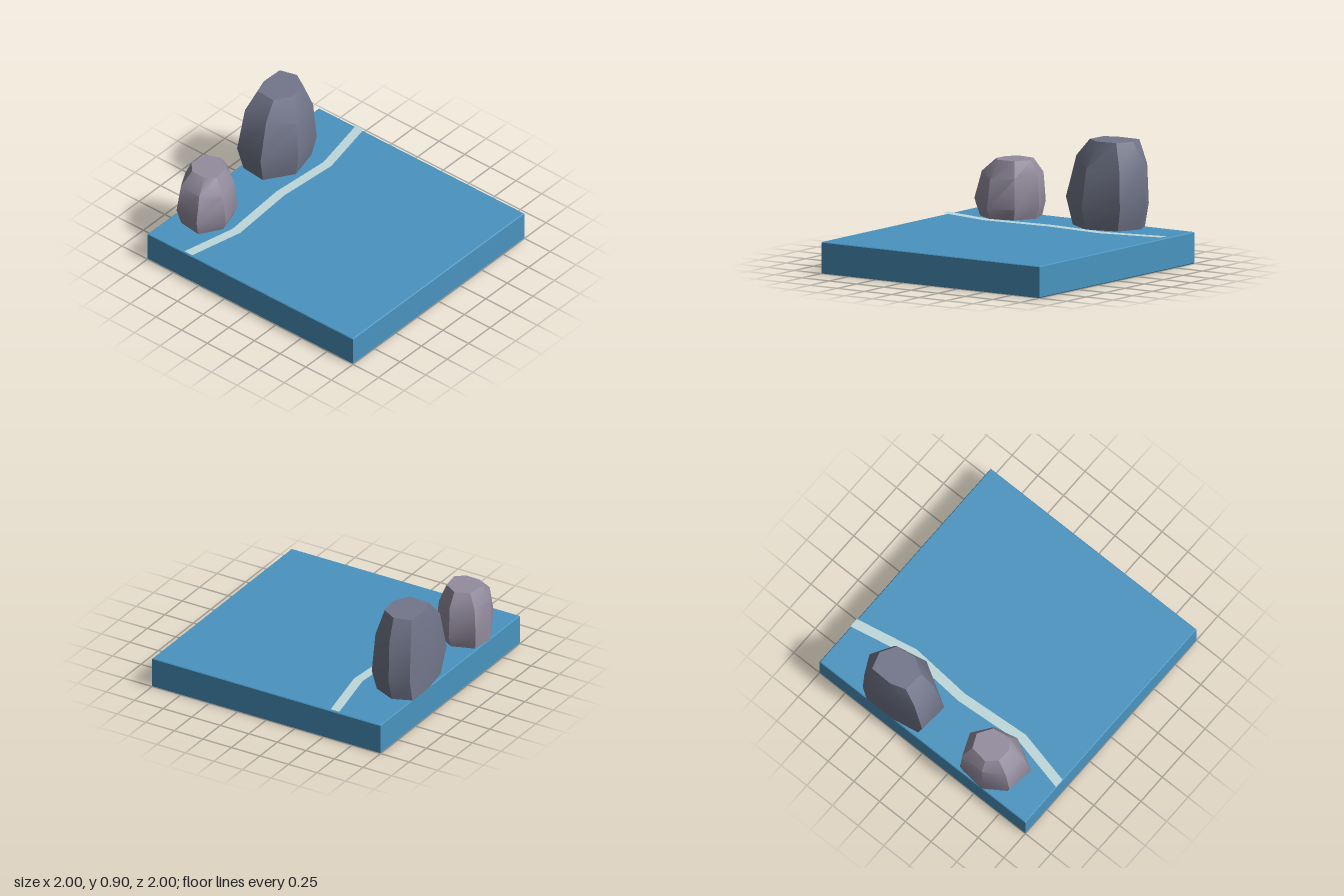
import * as THREE from 'three';
import { toCreasedNormals } from 'three/addons/utils/BufferGeometryUtils.js';

const TOP = 0.24;

function addMesh(group, name, geometry, color, side = THREE.FrontSide) {
  const mesh = new THREE.Mesh(geometry, new THREE.MeshStandardMaterial({ color, side }));
  mesh.name = name;
  group.add(mesh);
}

// Slab with a fine chamfer on every edge
function slabGeometry() {
  const b = 0.006, s = 1 - b;
  const square = new THREE.Shape([[-s, -s], [s, -s], [s, s], [-s, s]].map(p => new THREE.Vector2(...p)));
  const g = new THREE.ExtrudeGeometry(square, {
    depth: TOP - 2 * b, bevelEnabled: true, bevelSegments: 1, bevelSize: b, bevelThickness: b,
  });
  return g.rotateX(-Math.PI / 2).translate(0, b, 0);
}

// Rock lofted through rings [y per corner, [x, z] corners], flat on top, ends capped
function rockGeometry(rings) {
  const n = rings[0].points.length, pos = [], index = [];
  for (const { y, points } of rings) {
    points.forEach(([x, z], i) => pos.push(x, Array.isArray(y) ? y[i] : y, Math.max(z, -1)));
  }
  for (let r = 0; r < rings.length - 1; r++) {
    for (let i = 0; i < n; i++) {
      const a = r * n + i, b = r * n + (i + 1) % n;
      index.push(a, b, b + n, a, b + n, a + n);
    }
  }
  const last = (rings.length - 1) * n;
  for (let i = 1; i < n - 1; i++) {
    index.push(0, i + 1, i, last, last + i, last + i + 1);
  }
  const g = new THREE.BufferGeometry();
  g.setAttribute('position', new THREE.Float32BufferAttribute(pos, 3));
  g.setIndex(index);
  return toCreasedNormals(g, 0.7);
}

// Flat strip following a zigzag centre line
function stripGeometry(path, halfWidth) {
  const edge = d => path.map(([x, z]) => new THREE.Vector2(x, -z + d));
  const shape = new THREE.Shape([...edge(-halfWidth), ...edge(halfWidth).reverse()]);
  return new THREE.ShapeGeometry(shape).rotateX(-Math.PI / 2);
}

export function createModel() {
  const model = new THREE.Group();
  model.name = 'waterTileWithRocks';

  addMesh(model, 'waterSlab', slabGeometry(), 0x4a94c0);

  // Foam line floating just above the water
  const foam = stripGeometry([[-1, -0.602], [-0.56, -0.502], [0, -0.542], [0.5, -0.502], [1, -0.602]], 0.038);
  addMesh(model, 'foamStrip', foam.translate(0, TOP + 0.014, 0), 0xbfd8da, THREE.DoubleSide);

  // Corners run from the left tip round the front; backs are cut flush with the slab
  addMesh(model, 'largeRock', rockGeometry([
    { y: TOP - 0.02, points: [[0.06, -0.76], [0.27, -0.62], [0.52, -0.68], [0.6, -0.86], [0.54, -1], [0.3, -1], [0.08, -0.96]] },
    { y: [0.45, 0.4, 0.4, 0.41, 0.42, 0.44, 0.45], points: [[0.005, -0.74], [0.26, -0.585], [0.56, -0.655], [0.655, -0.86], [0.58, -1], [0.3, -1], [0.02, -0.98]] },
    { y: [0.77, 0.7, 0.71, 0.74, 0.72, 0.72, 0.77], points: [[0.09, -0.755], [0.28, -0.615], [0.54, -0.675], [0.635, -0.855], [0.565, -1], [0.3, -1], [0.1, -0.97]] },
    { y: 0.9, points: [[0.2, -0.775], [0.32, -0.7], [0.48, -0.72], [0.55, -0.84], [0.51, -0.975], [0.33, -0.98], [0.21, -0.94]] },
  ]), 0x72768a);

  addMesh(model, 'smallRock', rockGeometry([
    { y: TOP - 0.02, points: [[-0.755, -0.71], [-0.59, -0.61], [-0.42, -0.66], [-0.33, -0.81], [-0.39, -0.98], [-0.57, -1], [-0.73, -0.89]] },
    { y: [0.37, 0.32, 0.32, 0.33, 0.35, 0.36, 0.37], points: [[-0.8, -0.69], [-0.6, -0.57], [-0.39, -0.635], [-0.29, -0.81], [-0.365, -1], [-0.58, -1], [-0.77, -0.91]] },
    { y: [0.58, 0.54, 0.55, 0.58, 0.57, 0.57, 0.58], points: [[-0.745, -0.71], [-0.595, -0.605], [-0.405, -0.655], [-0.305, -0.81], [-0.375, -0.985], [-0.57, -0.99], [-0.73, -0.9]] },
    { y: 0.68, points: [[-0.64, -0.75], [-0.58, -0.68], [-0.44, -0.7], [-0.37, -0.81], [-0.42, -0.92], [-0.56, -0.94], [-0.635, -0.87]] },
  ]), 0x938c9e);

  return model;
}
